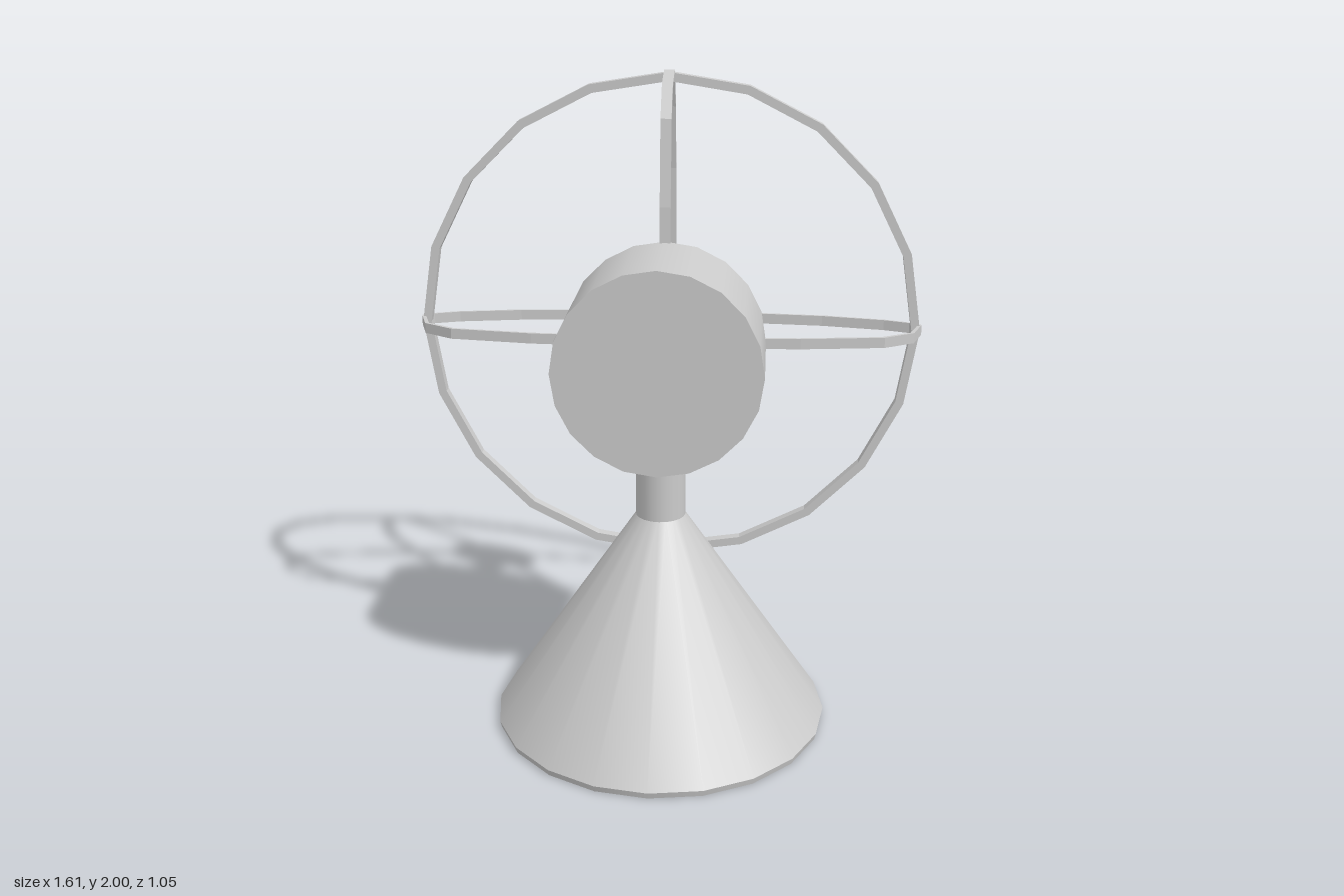
import * as THREE from 'three';

const SIDES = 20;
const AXIS_Y = 1.19; // height of the fan axis

export function createModel() {
  const model = new THREE.Group();
  model.name = 'deskFan';
  const material = new THREE.MeshStandardMaterial({ color: 0xcccccc });

  const add = (name, geometry, y = 0) => {
    const mesh = new THREE.Mesh(geometry, material);
    mesh.name = name;
    mesh.position.y = y;
    model.add(mesh);
    return mesh;
  };

  // upright cylinder or cone between two heights
  const upright = (name, rTop, rBottom, y0, y1) =>
    add(name, new THREE.CylinderGeometry(rTop, rBottom, y1 - y0, SIDES), (y0 + y1) / 2);

  // cylinder lying along the fan axis between two depths
  const axial = (name, r, z0, z1) => {
    const g = new THREE.CylinderGeometry(r, r, z1 - z0, SIDES);
    g.rotateX(Math.PI / 2).translate(0, 0, (z0 + z1) / 2);
    add(name, g, AXIS_Y);
  };

  // closed flat band: an outline with a matching hole, extruded about its middle
  const band = (outer, inner, width) => {
    const shape = new THREE.Shape(outer);
    shape.holes.push(new THREE.Path(inner));
    const g = new THREE.ExtrudeGeometry(shape, { depth: width, bevelEnabled: false });
    return g.translate(0, 0, -width / 2);
  };

  // stand
  upright('baseRim', 0.525, 0.52, 0, 0.02);
  upright('baseCone', 0.07, 0.525, 0.02, 0.7);
  upright('neck', 0.077, 0.077, 0.62, 0.92);

  // motor and hub
  axial('motorHousing', 0.313, -0.19, 0.175);
  axial('shaft', 0.046, -0.45, -0.18);
  axial('hub', 0.145, -0.48, -0.435);

  // guard ring
  const circle = (r) => Array.from({ length: SIDES }, (_, i) => {
    const a = (i / SIDES) * Math.PI * 2;
    return new THREE.Vector2(r * Math.cos(a), r * Math.sin(a));
  });
  add('guardRing', band(circle(0.8), circle(0.773), 0.032).translate(0, 0, -0.367), AXIS_Y);

  // guard wires: half profile as [radius, depth], from back to front, mirrored into a loop
  const half = [[0.14, -0.478], [0.5, -0.452], [0.7, -0.415], [0.78, -0.386], [0.806, -0.365],
    [0.775, -0.27], [0.68, -0.212], [0.42, -0.178], [0.15, -0.168]];
  const loop = [...half, ...half.map(([r, z]) => [-r, z]).reverse()];
  const midZ = -0.33;
  const outer = loop.map(([r, z]) => new THREE.Vector2(r, z));
  const inner = loop.map(([r, z]) => new THREE.Vector2(r * 0.985, midZ + (z - midZ) * 0.94));
  const wire = band(outer, inner, 0.033).rotateX(Math.PI / 2);
  add('horizontalWire', wire, AXIS_Y);
  add('verticalWire', wire.clone().rotateZ(Math.PI / 2), AXIS_Y);

  return model;
}
